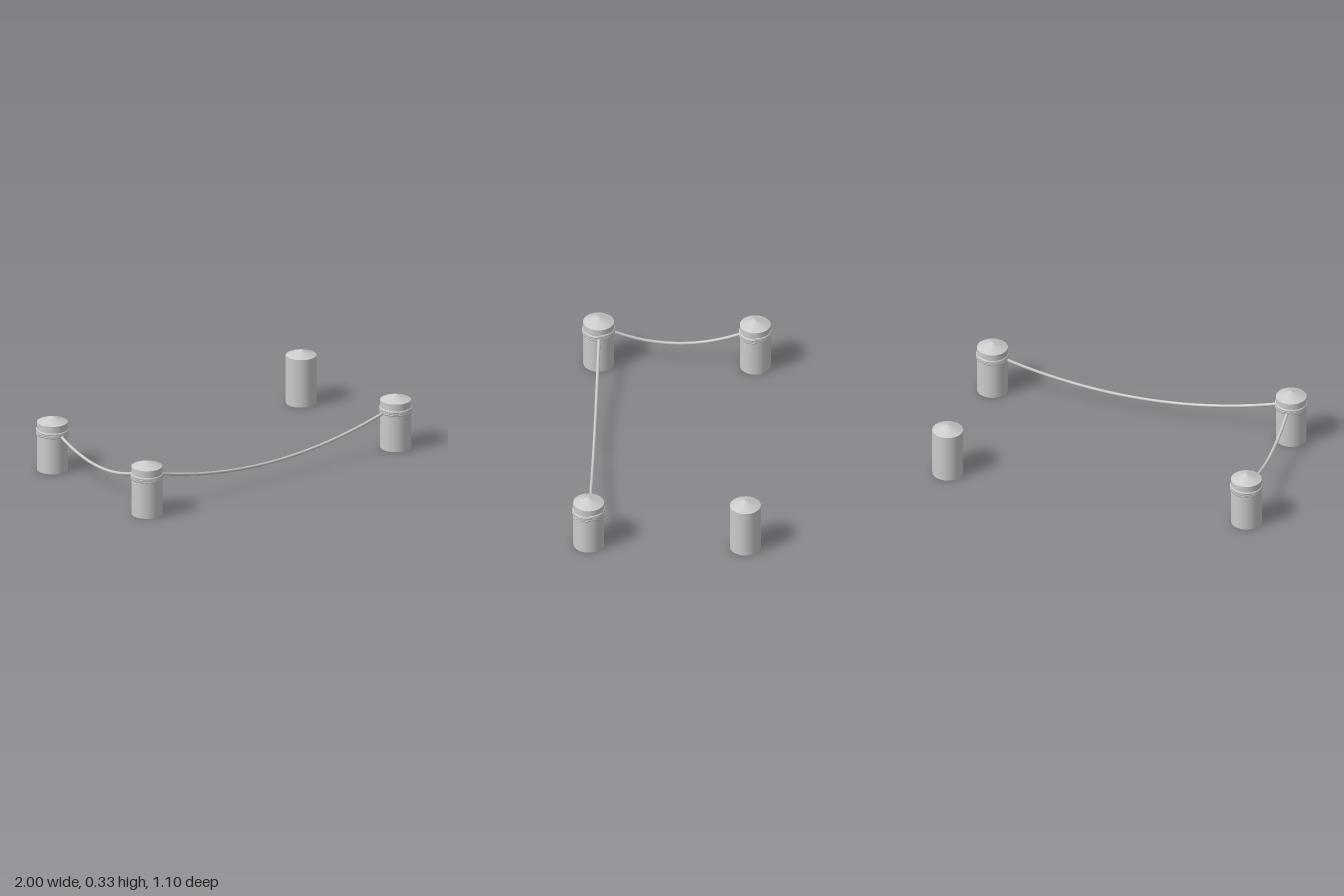
import * as THREE from 'three';

const X = 0.905, Z = 0.455, R = 0.09, ROPE = 0.0095;

export function createModel() {
  const group = new THREE.Group();
  group.name = 'ropeBarrier';
  const material = new THREE.MeshStandardMaterial({ color: 0xcccccc });
  const add = (geometry, name, x = 0, y = 0, z = 0) => {
    const mesh = new THREE.Mesh(geometry, material);
    mesh.name = name;
    mesh.position.set(x, y, z);
    group.add(mesh);
  };

  // Round bollards with shallow conical caps
  const shaft = new THREE.CylinderGeometry(R, R, 0.295, 32, 1, true);
  const base = new THREE.CircleGeometry(R, 32).rotateX(Math.PI / 2);
  const cap = new THREE.ConeGeometry(R, 0.035, 32, 1, true);
  for (const x of [-X, X]) for (const z of [-Z, Z]) {
    add(shaft, 'post', x, 0.1475, z);
    add(base, 'postBase', x, 0, z);
    add(cap, 'postCap', x, 0.3125, z);
  }

  // Three turns of rope wound round each roped post
  const turns = 3, points = [];
  for (let i = 0; i <= turns * 16; i++) {
    const a = (i / 16) * Math.PI * 2;
    const y = 0.223 + 0.028 * i / (turns * 16);
    points.push(new THREE.Vector3(Math.cos(a) * 0.0865, y, Math.sin(a) * 0.0865));
  }
  const coil = new THREE.TubeGeometry(new THREE.CatmullRomCurve3(points), 120, ROPE, 8);
  for (const [x, z] of [[-X, -Z], [-X, Z], [X, Z]]) add(coil, 'ropeCoil', x, 0, z);

  // Sagging ropes between posts, following a parabola
  const sag = (half, low, toPoint, name) => {
    const path = [];
    for (let i = -8; i <= 8; i++) {
      const t = i / 8;
      path.push(toPoint(t * half, low + (0.228 - low) * t * t));
    }
    add(new THREE.TubeGeometry(new THREE.CatmullRomCurve3(path), 32, ROPE, 8), name);
  };
  sag(X - 0.08, 0.109, (s, y) => new THREE.Vector3(s, y, Z - 0.005), 'frontRope');
  sag(Z - 0.08, 0.149, (s, y) => new THREE.Vector3(-X, y, s), 'sideRope');

  return group;
}
